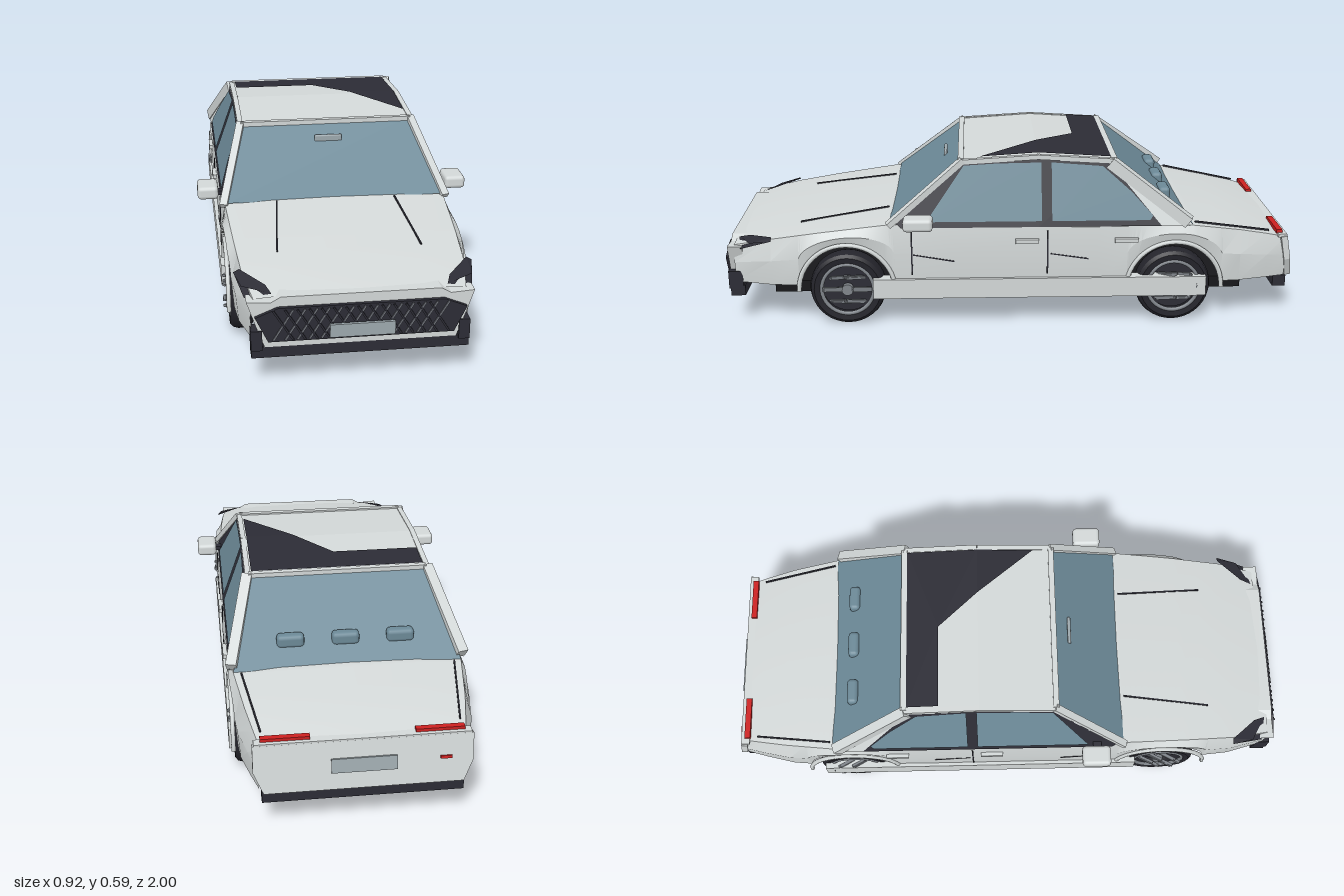
import * as THREE from 'three';
import { toCreasedNormals } from 'three/addons/utils/BufferGeometryUtils.js';
import { RoundedBoxGeometry } from 'three/addons/geometries/RoundedBoxGeometry.js';

const mat = (name, color) => {
  const m = new THREE.MeshStandardMaterial({ color, side: THREE.DoubleSide });
  m.name = name;
  return m;
};

export function createModel() {
  const paint = mat('silverPaint', 0xd3d8d8), glass = mat('glass', 0x6c8997), trim = mat('darkTrim', 0x2c2c35);
  const tyreMat = mat('tyreRubber', 0x24242b), alloy = mat('alloy', 0x80858b), under = mat('underbody', 0x17171a);
  const red = mat('redLamp', 0xcc2020), plateMat = mat('plateGrey', 0x9da8ad), mesh = mat('grilleBars', 0x6b6e76);
  const car = new THREE.Group();
  car.name = 'car';

  const add = (name, geo, m, x = 0, y = 0, z = 0, parent = car) => {
    const o = new THREE.Mesh(geo, m);
    o.name = name;
    o.position.set(x, y, z);
    parent.add(o);
    return o;
  };
  const box = (name, m, w, h, d, x, y, z, parent) => add(name, new THREE.BoxGeometry(w, h, d), m, x, y, z, parent);
  // Box stretched between two points
  const bar = (name, m, a, b, w, h, parent = car) => {
    const p = new THREE.Vector3(...a), q = new THREE.Vector3(...b);
    const o = add(name, new THREE.BoxGeometry(w, h, p.distanceTo(q)), m, 0, 0, 0, parent);
    o.position.copy(p).lerp(q, 0.5);
    o.lookAt(q);
    return o;
  };
  // Flat polygon, fanned from its first corner
  const poly = (name, m, pts) => {
    const g = new THREE.BufferGeometry(), idx = [];
    g.setAttribute('position', new THREE.Float32BufferAttribute(pts.flat(), 3));
    for (let i = 1; i < pts.length - 1; i++) idx.push(0, i, i + 1);
    g.setIndex(idx);
    const flat = g.toNonIndexed();
    flat.computeVertexNormals();
    return add(name, flat, m);
  };
  const slab = (name, m, pts, depth, z) => {
    const s = new THREE.Shape(pts.map(p => new THREE.Vector2(...p)));
    return add(name, new THREE.ExtrudeGeometry(s, { depth, bevelEnabled: false }), m, 0, 0, z);
  };
  const mirrored = half => [...half, ...half.map(([x, y]) => [-x, y]).reverse()];

  // Body shell: cross-sections along z with wheel openings; rows are z, half width, top half width, top height
  const stations = [[-0.97, 0.325, 0.31, 0.29], [-0.9, 0.345, 0.325, 0.308], [-0.8, 0.37, 0.345, 0.33],
    [-0.63, 0.385, 0.37, 0.357], [-0.3, 0.388, 0.38, 0.358], [0.2, 0.388, 0.38, 0.362], [0.41, 0.388, 0.372, 0.37],
    [0.65, 0.38, 0.358, 0.338], [0.82, 0.365, 0.345, 0.312], [0.95, 0.33, 0.32, 0.285]];
  const at = z => {
    let i = 0;
    while (i < stations.length - 2 && z > stations[i + 1][0]) i++;
    const a = stations[i], b = stations[i + 1], t = (z - a[0]) / (b[0] - a[0]);
    return a.map((v, k) => v + (b[k] - v) * t);
  };
  const axles = [0.56, -0.57], wheelY = 0.135, archR = 0.165;
  const zs = stations.map(s => s[0]);
  for (const c of axles) for (let i = 0; i <= 20; i++) zs.push(c + archR * Math.cos(Math.PI * i / 20));
  zs.sort((a, b) => a - b);
  const pos = [], idx = [];
  zs.forEach(z => {
    const [, w, wt, top] = at(z);
    let low = 0.15;
    for (const c of axles) low = Math.max(low, wheelY + Math.sqrt(Math.max(0, archR ** 2 - (z - c) ** 2)));
    const half = [[w - 0.008, low], [w, low + (top - low) * 0.55], [wt, top], [wt * 0.6, top + 0.008]];
    for (const [x, y] of [...half, [0, top + 0.01], ...half.map(([x, y]) => [-x, y]).reverse()]) pos.push(x, y, z);
  });
  for (let i = 0; i < zs.length - 1; i++) for (let k = 0; k < 8; k++) {
    const a = i * 9 + k, b = a + 9;
    idx.push(a, a + 1, b, a + 1, b + 1, b);
  }
  let shell = new THREE.BufferGeometry();
  shell.setAttribute('position', new THREE.Float32BufferAttribute(pos, 3));
  shell.setIndex(idx);
  // Outward winding: section runs from the left sill over the top, so reverse it
  shell.setIndex(idx.map((v, i) => (i % 3 === 1 ? idx[i + 1] : i % 3 === 2 ? idx[i - 1] : v)));
  add('bodyShell', toCreasedNormals(shell, 0.35), paint);
  box('floorPan', under, 0.6, 0.04, 1.64, 0, 0.12, 0);

  // Cabin glass and roof
  poly('windscreen', glass, [[-0.365, 0.375, 0.41], [0.365, 0.375, 0.41], [0.295, 0.574, 0.16], [-0.295, 0.574, 0.16]]);
  poly('rearWindow', glass, [[0.37, 0.36, -0.63], [-0.37, 0.36, -0.63], [-0.3, 0.574, -0.36], [0.3, 0.574, -0.36]]);
  const roofY = z => 0.592 - Math.abs(z + 0.1) * 0.065;
  for (const [a, b] of [[0.165, -0.1], [-0.1, -0.365]])
    poly('roofPanel', paint, [[-0.3, roofY(a), a], [0.3, roofY(a), a], [0.3, roofY(b), b], [-0.3, roofY(b), b]]);
  const onRoof = pts => pts.map(([x, z]) => [x, roofY(z) + 0.006, z]);
  poly('roofDarkRear', trim, onRoof([[0, -0.24], [0.125, -0.1], [0.29, -0.1], [0.29, -0.35], [-0.29, -0.35], [-0.29, -0.24]]));
  poly('roofDarkFront', trim, onRoof([[0.125, -0.1], [0.29, 0.1], [0.29, -0.1]]));
  bar('roofFrontEdge', paint, [-0.3, 0.573, 0.165], [0.3, 0.573, 0.165], 0.02, 0.016);
  bar('roofRearEdge', paint, [-0.3, 0.573, -0.36], [0.3, 0.573, -0.36], 0.02, 0.016);
  add('interiorMirror', new RoundedBoxGeometry(0.096, 0.028, 0.012, 2, 0.005), plateMat, 0, 0.527, 0.222);
  for (const x of [-0.18, 0, 0.18])
    add('headrest', new RoundedBoxGeometry(0.09, 0.045, 0.04, 2, 0.014), glass, x, 0.424, -0.553);

  for (const s of [-1, 1]) {
    // Side windows, leaning inwards
    const onSide = (pts, off) => pts.map(([z, y]) => [s * (0.379 - (y - 0.37) * 0.36 + off), y, z]);
    poly('windowFrame', trim, onSide([[-0.1, 0.36], [0.37, 0.36], [0.39, 0.378], [0.16, 0.572], [-0.1, 0.584], [-0.34, 0.57], [-0.52, 0.36]], 0));
    poly('frontSideWindow', glass, onSide([[0.285, 0.38], [0.155, 0.56], [0.04, 0.566], [-0.11, 0.568], [-0.11, 0.38]], 0.004));
    poly('rearSideWindow', glass, onSide([[-0.145, 0.38], [-0.145, 0.568], [-0.32, 0.555], [-0.42, 0.47], [-0.49, 0.395], [-0.48, 0.38]], 0.004));
    poly('quarterPanel', paint, onSide([[-0.34, 0.57], [-0.365, 0.573], [-0.62, 0.358], [-0.52, 0.36]], 0));
    // Pillars and roof rails
    bar('frontPillar', paint, [s * 0.377, 0.368, 0.415], [s * 0.3, 0.575, 0.16], 0.026, 0.02);
    bar('rearPillar', paint, [s * 0.375, 0.37, -0.615], [s * 0.302, 0.565, -0.35], 0.035, 0.04);
    bar('roofRailFront', paint, [s * 0.302, 0.57, 0.165], [s * 0.302, 0.586, -0.1], 0.018, 0.016);
    bar('roofRailRear', paint, [s * 0.302, 0.586, -0.1], [s * 0.302, 0.57, -0.36], 0.018, 0.016);
    // Door furniture
    box('sill', paint, 0.045, 0.07, 1.15, s * 0.372, 0.142, -0.105);
    for (const z of [0.335, -0.13]) box('doorGap', trim, 0.004, 0.155, 0.005, s * 0.386, 0.27, z);
    for (const z of [-0.06, -0.4]) box('doorHandle', paint, 0.014, 0.014, 0.08, s * 0.39, 0.312, z);
    bar('doorCrease', trim, [s * 0.387, 0.265, 0.33], [s * 0.387, 0.24, 0.19], 0.004, 0.004);
    bar('doorCrease', trim, [s * 0.387, 0.265, -0.14], [s * 0.387, 0.245, -0.27], 0.004, 0.004);
    add('doorMirror', new RoundedBoxGeometry(0.07, 0.044, 0.1, 2, 0.013), paint, s * 0.426, 0.392, 0.31);
    box('mirrorArm', trim, 0.05, 0.014, 0.03, s * 0.385, 0.383, 0.315);
    // Bonnet and boot creases
    bar('bonnetCrease', trim, [s * 0.2, 0.379, 0.42], [s * 0.228, 0.335, 0.73], 0.005, 0.006);
    bar('bootCrease', trim, [s * 0.345, 0.362, -0.64], [s * 0.305, 0.314, -0.91], 0.005, 0.006);
    // Swept headlamp and bumper corners
    poly('headlampTop', trim, [[s * 0.352, 0.322, 0.815], [s * 0.352, 0.3, 0.89], [s * 0.265, 0.295, 0.94], [s * 0.28, 0.306, 0.9]]);
    poly('headlampSide', trim, [[s * 0.37, 0.312, 0.815], [s * 0.352, 0.322, 0.815], [s * 0.352, 0.3, 0.89], [s * 0.265, 0.295, 0.94], [s * 0.345, 0.278, 0.925]]);
    box('bumperCorner', trim, 0.034, 0.065, 0.05, s * 0.314, 0.158, 0.95);
    box('tailLamp', red, 0.15, 0.014, 0.02, s * 0.235, 0.309, -0.947);
  }

  // Nose: fascia, grille with crossed bars, plate and lip
  slab('frontFascia', paint, mirrored([[0.29, 0.135], [0.31, 0.19], [0.342, 0.285], [0.27, 0.28], [0.24, 0.297]]), 0.05, 0.92);
  slab('grille', trim, mirrored([[0.28, 0.157], [0.318, 0.238], [0.25, 0.266]]), 0.02, 0.962);
  for (let i = 0; i < 14; i++) {
    const x = -0.265 + i * 0.036;
    bar('grilleBar', mesh, [x, 0.162, 0.983], [x + 0.06, 0.26, 0.983], 0.005, 0.006);
    bar('grilleBarCross', trim, [x + 0.06, 0.162, 0.985], [x, 0.26, 0.985], 0.005, 0.006);
  }
  box('frontPlate', plateMat, 0.196, 0.042, 0.01, 0, 0.19, 0.994);
  box('frontLip', trim, 0.66, 0.036, 0.05, 0, 0.118, 0.945);

  // Tail: leaning panel, plate, badge and lower bumper
  const tail = slab('rearPanel', paint, mirrored([[0.305, 0], [0.335, 0.07], [0.335, 0.155]]), 0.022, -0.998);
  tail.position.y = 0.148;
  tail.rotation.x = 0.18;
  bar('bootLip', paint, [-0.33, 0.3, -0.955], [0.33, 0.3, -0.955], 0.03, 0.012);
  box('rearPlate', plateMat, 0.2, 0.045, 0.01, 0, 0.225, -0.986).rotation.x = 0.18;
  box('rearMark', red, 0.035, 0.009, 0.008, -0.25, 0.23, -0.985).rotation.x = 0.18;
  box('rearBumper', trim, 0.62, 0.04, 0.045, 0, 0.125, -0.958);

  // Wheels and arch lips
  const profile = [[0.09, -0.034], [0.115, -0.037], [0.126, -0.028], [0.131, -0.012], [0.131, 0.012], [0.126, 0.028], [0.115, 0.037], [0.09, 0.034]];
  const tyreGeo = toCreasedNormals(new THREE.LatheGeometry(profile.map(p => new THREE.Vector2(...p)), 36), 0.5).rotateZ(Math.PI / 2);
  const rimGeo = new THREE.TorusGeometry(0.09, 0.007, 8, 36).rotateY(Math.PI / 2);
  const hubGeo = new THREE.CylinderGeometry(0.02, 0.02, 0.02, 16).rotateZ(Math.PI / 2);
  const discGeo = new THREE.CylinderGeometry(0.09, 0.09, 0.012, 32).rotateZ(Math.PI / 2);
  const lipGeo = new THREE.TorusGeometry(archR, 0.008, 6, 24, Math.PI).rotateY(Math.PI / 2);
  for (const s of [-1, 1]) for (const z of axles) {
    const wheel = new THREE.Group();
    wheel.name = 'wheel';
    wheel.position.set(s * 0.338, wheelY, z);
    car.add(wheel);
    add('tyre', tyreGeo, tyreMat, 0, 0, 0, wheel);
    add('brakeDisc', discGeo, trim, 0, 0, 0, wheel);
    add('rim', rimGeo, alloy, s * 0.032, 0, 0, wheel);
    add('hub', hubGeo, alloy, s * 0.032, 0, 0, wheel);
    for (let i = 0; i < 6; i++) for (const d of [-0.09, 0.09]) {
      const a = i * Math.PI / 3, b = a + d;
      bar('spoke', alloy, [s * 0.034, 0.014 * Math.sin(a), 0.014 * Math.cos(a)],
        [s * 0.034, 0.088 * Math.sin(b), 0.088 * Math.cos(b)], 0.01, 0.008, wheel);
    }
    add('archLip', lipGeo, paint, s * 0.382, wheelY, z);
  }
  return car;
}
